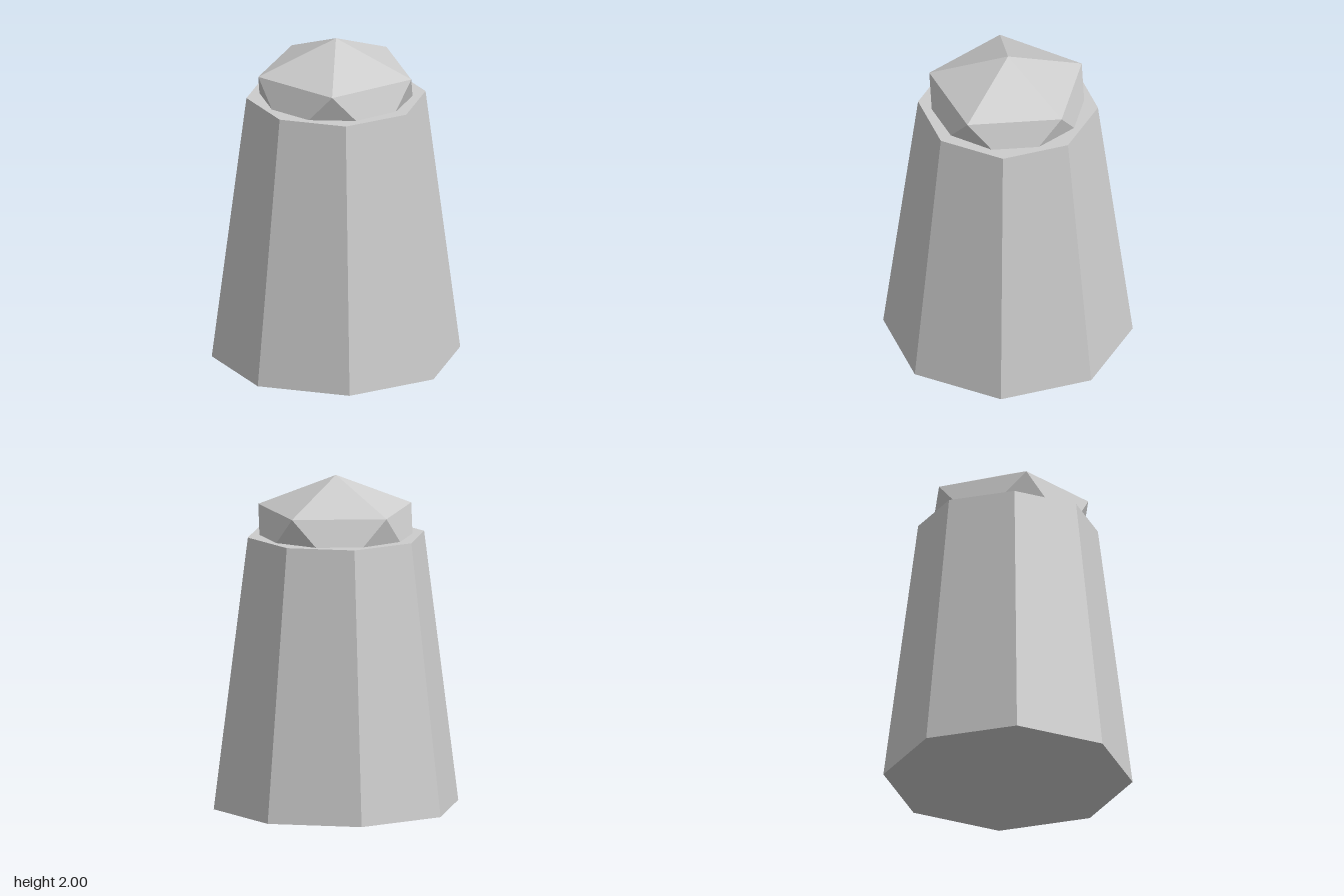
import * as THREE from 'three';

export function createModel() {
  const group = new THREE.Group();
  const grey = new THREE.MeshStandardMaterial({ color: 0xcccccc, flatShading: true });
  grey.name = 'light grey';

  const bodyHeight = 1.64;
  const topRadius = 0.537;

  // Tapered eight-sided body, one corner facing the front
  const body = new THREE.Mesh(
    new THREE.CylinderGeometry(topRadius, 0.745, bodyHeight, 8), grey);
  body.name = 'body';
  body.position.y = bodyHeight / 2;
  group.add(body);

  // Flattened icosahedron cap, turned point up and half sunk into the body
  const capGeometry = new THREE.IcosahedronGeometry(topRadius, 0);
  const golden = (1 + Math.sqrt(5)) / 2;
  capGeometry.rotateZ(-Math.atan(1 / golden));
  capGeometry.scale(1, (2 - bodyHeight) / topRadius, 1);
  const cap = new THREE.Mesh(capGeometry, grey);
  cap.name = 'cap';
  cap.position.y = bodyHeight;
  group.add(cap);

  return group;
}
